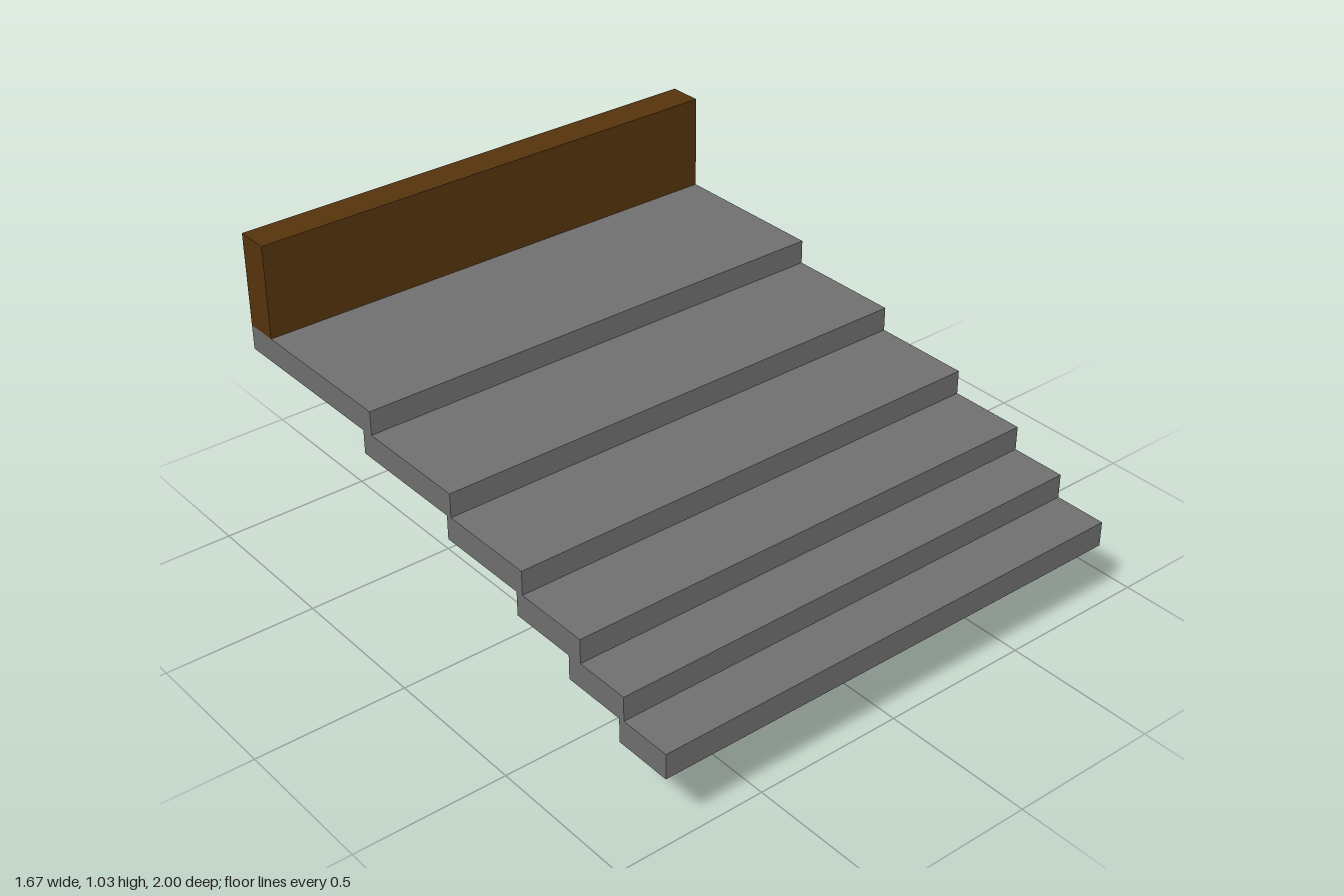
import * as THREE from 'three';

const WIDTH = 1.675;

export function createModel() {
  const group = new THREE.Group();
  const stone = new THREE.MeshStandardMaterial({ color: 0x707070 });
  stone.name = 'grey stone';
  const wood = new THREE.MeshStandardMaterial({ color: 0x57340d });
  wood.name = 'brown wood';

  // Box given by its width and its extents in y and z
  function addBox(name, material, width, y0, y1, z0, z1) {
    const mesh = new THREE.Mesh(new THREE.BoxGeometry(width, y1 - y0, z1 - z0), material);
    mesh.position.set(0, (y0 + y1) / 2, (z0 + z1) / 2);
    mesh.name = name;
    group.add(mesh);
  }

  // Overlapping steps, front to back, each deeper than the last: [back z, front z]
  const steps = [
    [0.805, 1], [0.588, 0.825], [0.356, 0.64],
    [0.03, 0.383], [-0.388, 0.05], [-1, -0.345],
  ];
  steps.forEach(([back, front], i) => {
    const bottom = 0.23 + i * 0.08;
    const name = i === steps.length - 1 ? 'topPlatform' : `step${i + 1}`;
    addBox(name, stone, WIDTH, bottom, bottom + 0.083, back, front);
  });

  // Wall along the back edge
  addBox('backWall', wood, WIDTH, 0.713, 1.028, -1, -0.888);

  // Single post under the platform
  addBox('supportPost', stone, 0.104, 0, 0.63, -0.666, -0.562);

  return group;
}
